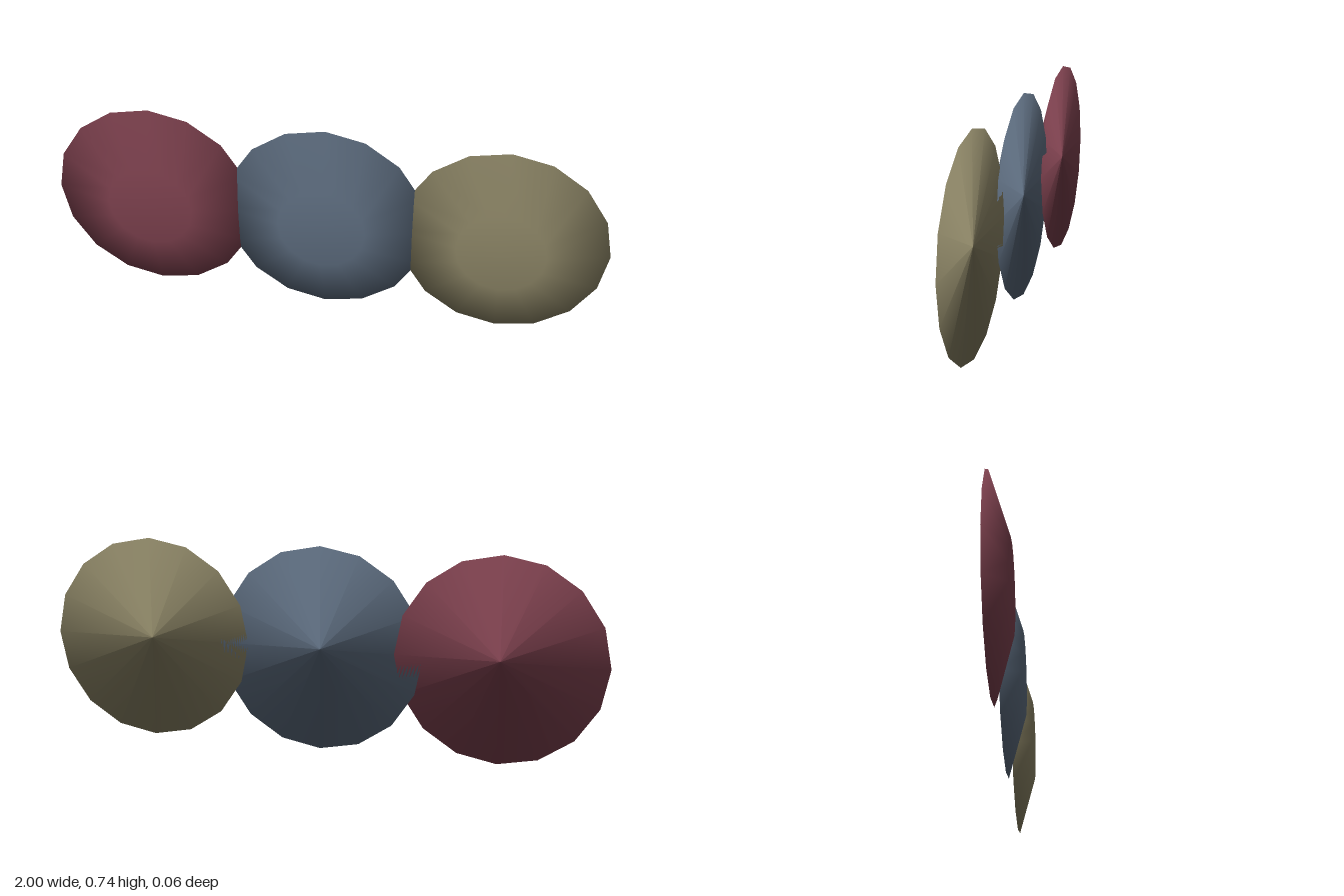
import * as THREE from 'three';

const R = 0.3675;      // rim radius
const FACE = 0.157;    // flat front radius
const H = 0.032;       // half thickness
const SPACING = 0.6325;
const SIDES = 16;

// Low-sided bevelled disc facing +z, with one soft normal per ring
function discGeometry() {
  const profile = [[0, -H], [R, -H], [FACE, H], [0, H]].map(([r, y]) => new THREE.Vector2(r, y));
  const geo = new THREE.LatheGeometry(profile, SIDES);

  // [radial, axial] normal of each ring: back centre, rim, front edge, front centre
  const ringNormals = [[0.99, -0.137], [0.99, -0.137], [0.147, 0.989], [0, 1]];
  const normal = geo.attributes.normal;
  for (let i = 0; i <= SIDES; i++) {
    const a = (i / SIDES) * Math.PI * 2;
    ringNormals.forEach(([radial, axial], j) => {
      normal.setXYZ(i * profile.length + j, radial * Math.sin(a), axial, radial * Math.cos(a));
    });
  }
  return geo.rotateX(Math.PI / 2);
}

export function createModel() {
  const group = new THREE.Group();
  group.name = 'threeDiscs';
  const geo = discGeometry();

  // Three overlapping discs in a row
  const discs = [
    ['rightDisc', 'wine red', 0x7a3f4c],
    ['middleDisc', 'slate blue', 0x5a697b],
    ['leftDisc', 'olive', 0x878062],
  ];
  discs.forEach(([name, colorName, color], i) => {
    const material = new THREE.MeshStandardMaterial({ color });
    material.name = colorName;
    const disc = new THREE.Mesh(geo, material);
    disc.name = name;
    disc.position.set((i - 1) * SPACING, R, 0);
    group.add(disc);
  });
  return group;
}
